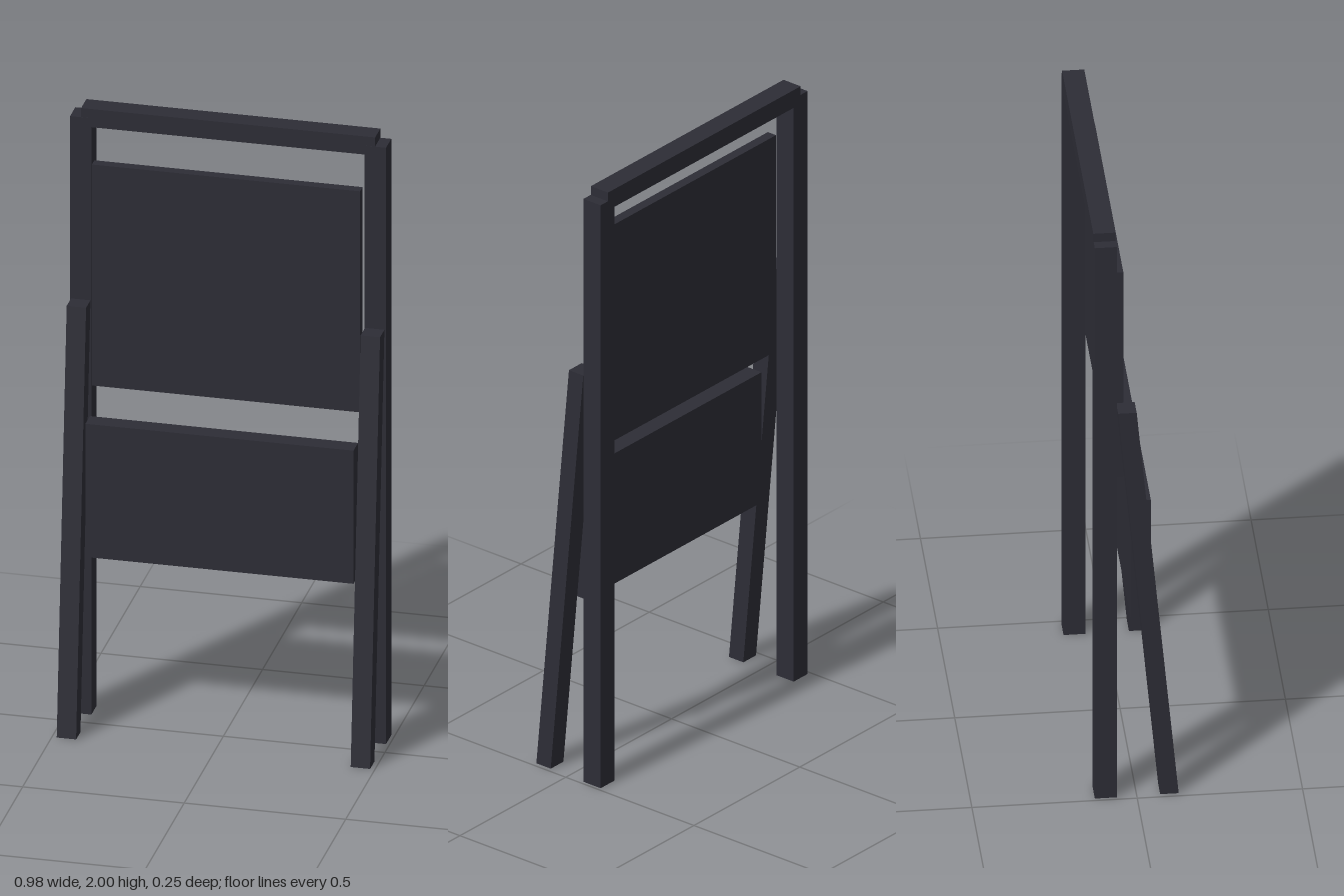
import * as THREE from 'three';

export function createModel() {
  const model = new THREE.Group();
  const charcoal = new THREE.MeshStandardMaterial({ color: 0x2d2d36 });
  charcoal.name = 'charcoal';

  const add = (name, geometry, x = 0, y = 0, z = 0) => {
    const mesh = new THREE.Mesh(geometry, charcoal);
    mesh.name = name;
    mesh.position.set(x, y, z);
    model.add(mesh);
  };

  // box given by its width and its y and z ranges
  const bar = (name, width, x, y0, y1, z0, z1) =>
    add(name, new THREE.BoxGeometry(width, y1 - y0, z1 - z0), x, (y0 + y1) / 2, (z0 + z1) / 2);

  // slanted leg: a box sheared in z so both ends stay level
  const slantedLeg = () => {
    const height = 1.37;
    const geometry = new THREE.BoxGeometry(0.06, height, 0.056);
    geometry.translate(0, height / 2, 0);
    const p = geometry.attributes.position;
    for (let i = 0; i < p.count; i++) {
      p.setZ(i, p.getZ(i) + 0.099 - 0.127 * (p.getY(i) / height));
    }
    geometry.computeVertexNormals();
    return geometry;
  };

  // upright posts and slanted front legs on both sides
  for (const [side, s] of [['left', 1], ['right', -1]]) {
    bar(side + 'Post', 0.066, s * 0.456, 0, 1.97, -0.127, -0.06);
    add(side + 'FrontLeg', slantedLeg(), s * 0.455);
  }

  // top rail and the two panels
  bar('topRail', 0.91, 0, 1.94, 2, -0.128, -0.061);
  bar('backPanel', 0.83, 0, 1.1, 1.83, -0.065, -0.033);
  bar('seatPanel', 0.83, 0, 0.57, 1.01, -0.008, 0.05);

  return model;
}
